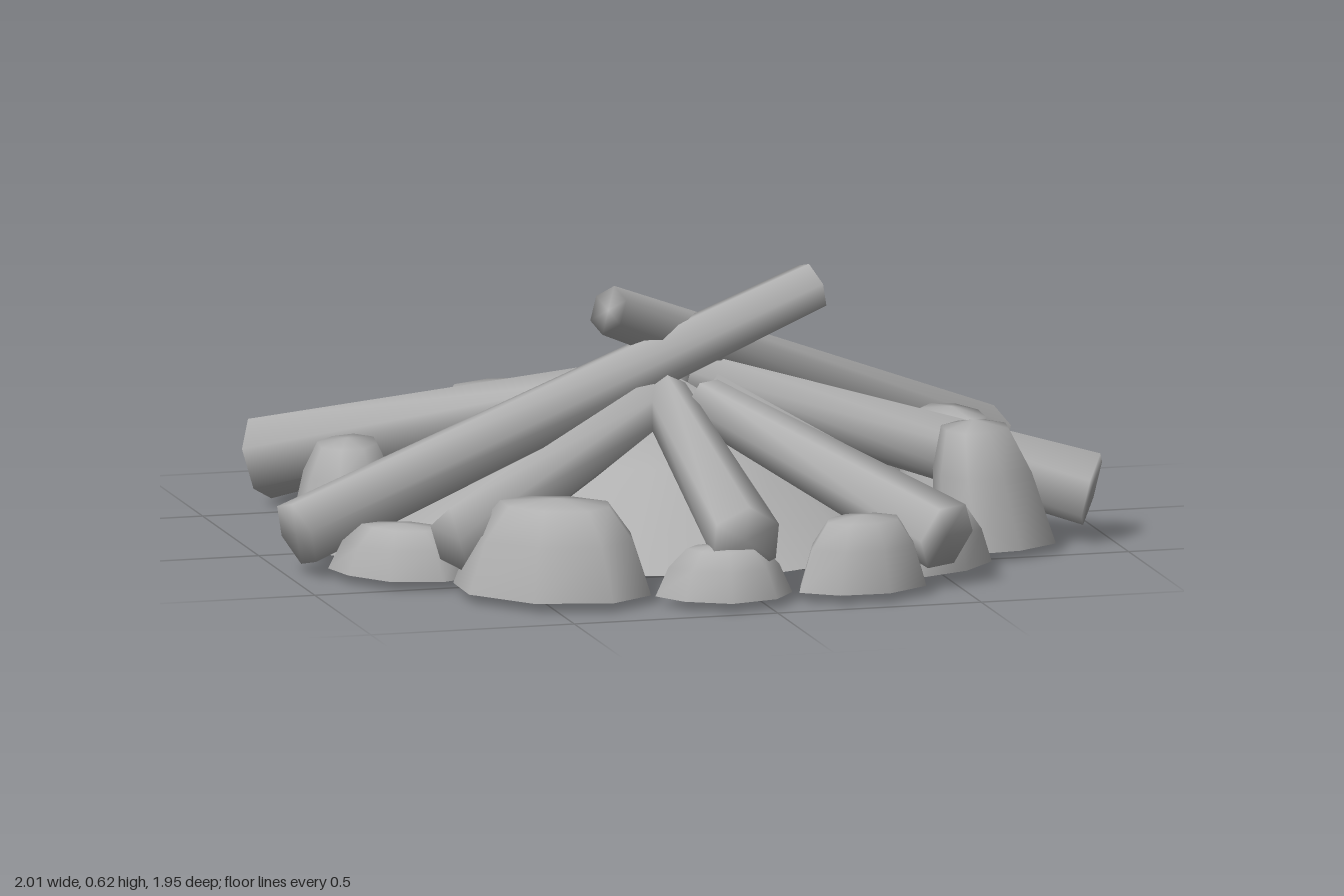
import * as THREE from 'three';
import { mergeVertices } from 'three/addons/utils/BufferGeometryUtils.js';

const grey = new THREE.MeshStandardMaterial({ color: 0xb0b0b0, side: THREE.DoubleSide });
grey.name = 'ash grey';

// Small seeded generator for natural irregularity
let seed = 7;
const rand = () => (seed = (seed * 16807) % 2147483647) / 2147483647;

// Tapered six-sided log between two points, with softly shaded ends
function log(outer, inner, rOuter, rInner) {
  const a = new THREE.Vector3(...outer), b = new THREE.Vector3(...inner);
  let geo = new THREE.CylinderGeometry(rInner, rOuter, a.distanceTo(b), 6);
  geo.deleteAttribute('uv');
  geo.deleteAttribute('normal');
  geo = mergeVertices(geo);
  geo.computeVertexNormals();
  const mesh = new THREE.Mesh(geo, grey);
  mesh.name = 'log';
  mesh.position.copy(a).add(b).multiplyScalar(0.5);
  mesh.quaternion.setFromUnitVectors(new THREE.Vector3(0, 1, 0), b.sub(a).normalize());
  return mesh;
}

// Open-bottomed shell built from shrinking, slightly irregular rings [radius, height];
// lean shifts the top along local z
function shell(name, sides, rings, jitter, lean = 0) {
  const pos = [], index = [];
  const wobble = Array.from({ length: sides }, () => 1 - jitter * rand());
  const top = rings.length * sides;
  rings.forEach(([r, y]) => {
    for (let i = 0; i < sides; i++) {
      const t = (i / sides) * Math.PI * 2;
      pos.push(Math.cos(t) * r * wobble[i], y, Math.sin(t) * r * wobble[i] + lean * y);
    }
  });
  pos.push(0, 1, lean);
  rings.forEach((_, k) => {
    for (let i = 0; i < sides; i++) {
      const j = (i + 1) % sides, a = k * sides + i, b = k * sides + j;
      if (k === rings.length - 1) index.push(a, top, b);
      else index.push(a, a + sides, b, b, a + sides, b + sides);
    }
  });
  const geo = new THREE.BufferGeometry();
  geo.setAttribute('position', new THREE.Float32BufferAttribute(pos, 3));
  geo.setIndex(index);
  geo.computeVertexNormals();
  const mesh = new THREE.Mesh(geo, grey);
  mesh.name = name;
  return mesh;
}

export function createModel() {
  const model = new THREE.Group();
  model.name = 'campfire';

  // Ash mound
  const mound = shell('ashMound', 13, [[0.67, 0], [0.34, 0.52]], 0.07);
  mound.scale.y = 0.375;
  mound.position.set(-0.01, 0.02, -0.01);
  model.add(mound);

  // Logs: outer end, inner end, outer radius, inner radius
  const logs = new THREE.Group();
  logs.name = 'logs';
  [
    [[-0.98, 0.1, 0.265], [0.38, 0.565, -0.07], 0.086, 0.062],
    [[0.92, 0.085, -0.485], [-0.16, 0.56, 0.07], 0.084, 0.06],
    [[0.955, 0.12, 0.335], [0.08, 0.36, -0.06], 0.092, 0.065],
    [[0.465, 0.125, 0.82], [0.06, 0.34, 0.13], 0.088, 0.06],
    [[-0.05, 0.155, 0.9], [-0.02, 0.345, 0.05], 0.088, 0.06],
    [[-0.67, 0.13, 0.595], [-0.05, 0.33, 0.08], 0.085, 0.06],
    [[-0.82, 0.1, -0.645], [-0.07, 0.345, -0.1], 0.1, 0.058],
    [[-0.13, 0.1, -0.7], [-0.03, 0.345, -0.06], 0.11, 0.068],
    [[0.445, 0.078, -0.83], [0.04, 0.35, -0.11], 0.085, 0.056],
    [[-0.46, 0.06, -0.61], [-0.09, 0.35, -0.13], 0.06, 0.045],
    [[0.58, 0.055, 0.28], [0.1, 0.34, 0.02], 0.06, 0.05],
  ].forEach((l) => logs.add(log(...l)));
  model.add(logs);

  // Ring of stones: x, z, half length along the ring, half depth, height, lean, twist
  const stones = new THREE.Group();
  stones.name = 'stoneRing';
  [
    [-0.165, -0.805, 0.255, 0.19, 0.2, 0.08],
    [-0.5, -0.66, 0.18, 0.11, 0.15],
    [-0.7, -0.3, 0.2, 0.13, 0.19],
    [-0.8, 0.04, 0.17, 0.105, 0.13],
    [-0.755, 0.4, 0.18, 0.11, 0.12, 0, 0.5],
    [-0.455, 0.69, 0.26, 0.18, 0.22],
    [-0.09, 0.85, 0.17, 0.12, 0.12],
    [0.255, 0.83, 0.18, 0.13, 0.17],
    [0.49, 0.66, 0.18, 0.085, 0.14],
    [0.7, 0.39, 0.17, 0.145, 0.29, -0.35],
    [0.8, 0.15, 0.1, 0.09, 0.12],
    [0.735, -0.12, 0.21, 0.125, 0.225],
    [0.55, -0.525, 0.23, 0.165, 0.19],
    [0.22, -0.765, 0.165, 0.12, 0.13],
  ].forEach(([x, z, length, depth, height, lean = 0, twist = 0]) => {
    const stone = shell('stone', 8, [[1.05, 0], [0.85, 0.58], [0.58, 0.94]], 0.16, lean);
    stone.scale.set(length, height, depth);
    stone.rotation.y = Math.atan2(x, z) + twist;
    stone.position.set(x, 0.02, z);
    stones.add(stone);
  });
  model.add(stones);

  return model;
}
